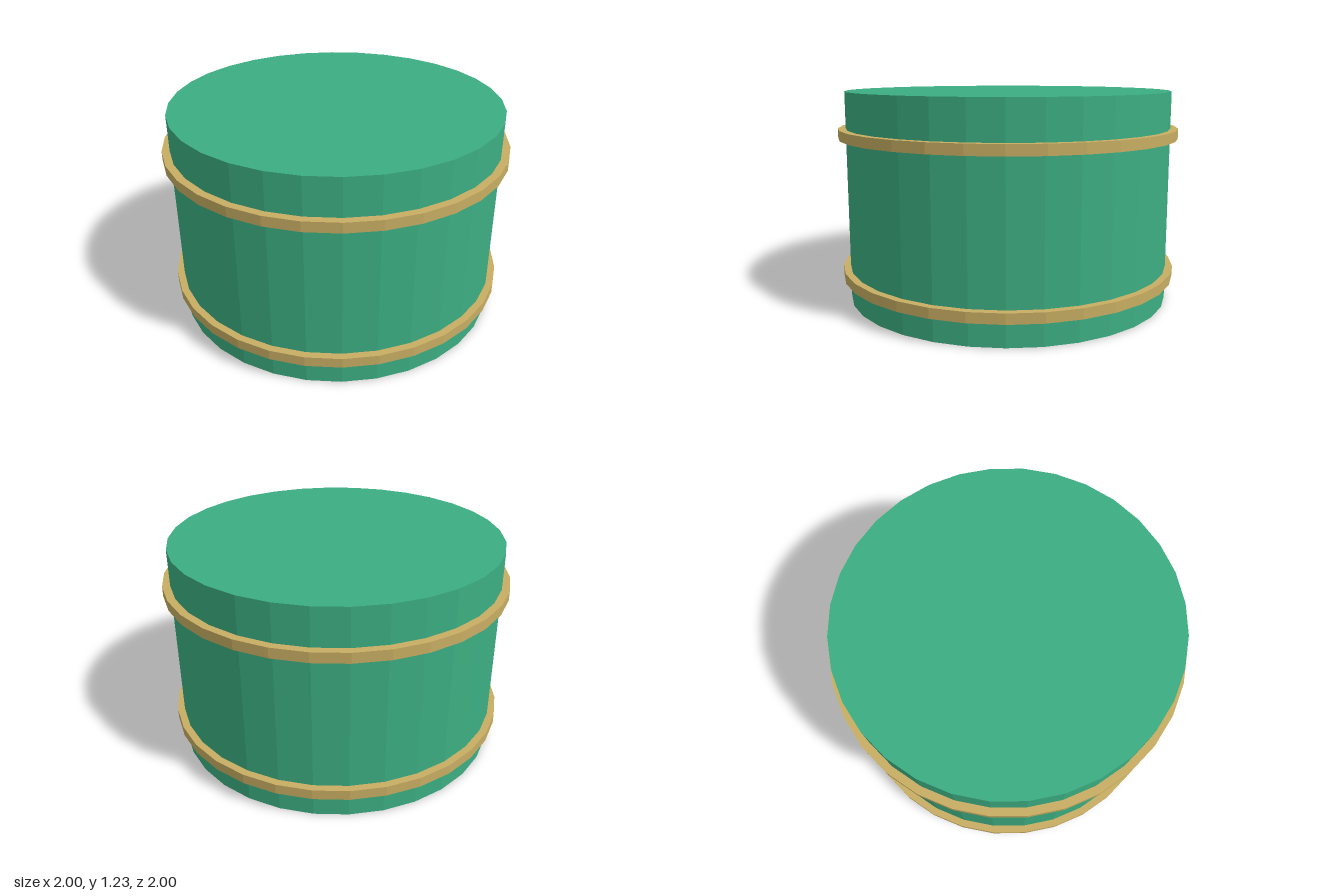
import * as THREE from 'three';

const SIDES = 32;

export function createModel() {
  const model = new THREE.Group();
  model.name = 'drum';

  const green = new THREE.MeshStandardMaterial({ color: 0x3cae82 });
  green.name = 'green';
  const gold = new THREE.MeshStandardMaterial({ color: 0xc8ae63 });
  gold.name = 'gold';

  // Faceted cylinder standing between two heights
  function addCylinder(name, material, topRadius, bottomRadius, bottom, top) {
    const geometry = new THREE.CylinderGeometry(topRadius, bottomRadius, top - bottom, SIDES).toNonIndexed();
    geometry.computeVertexNormals(); // flat facets
    const mesh = new THREE.Mesh(geometry, material);
    mesh.name = name;
    mesh.position.y = (bottom + top) / 2;
    model.add(mesh);
  }

  // Closed body with a very slight taper
  addCylinder('body', green, 0.955, 0.96, 0, 1.225);

  // Raised hoops around the body
  addCylinder('lowerHoop', gold, 1, 1, 0.137, 0.195);
  addCylinder('upperHoop', gold, 1, 1, 0.955, 1.013);

  return model;
}
